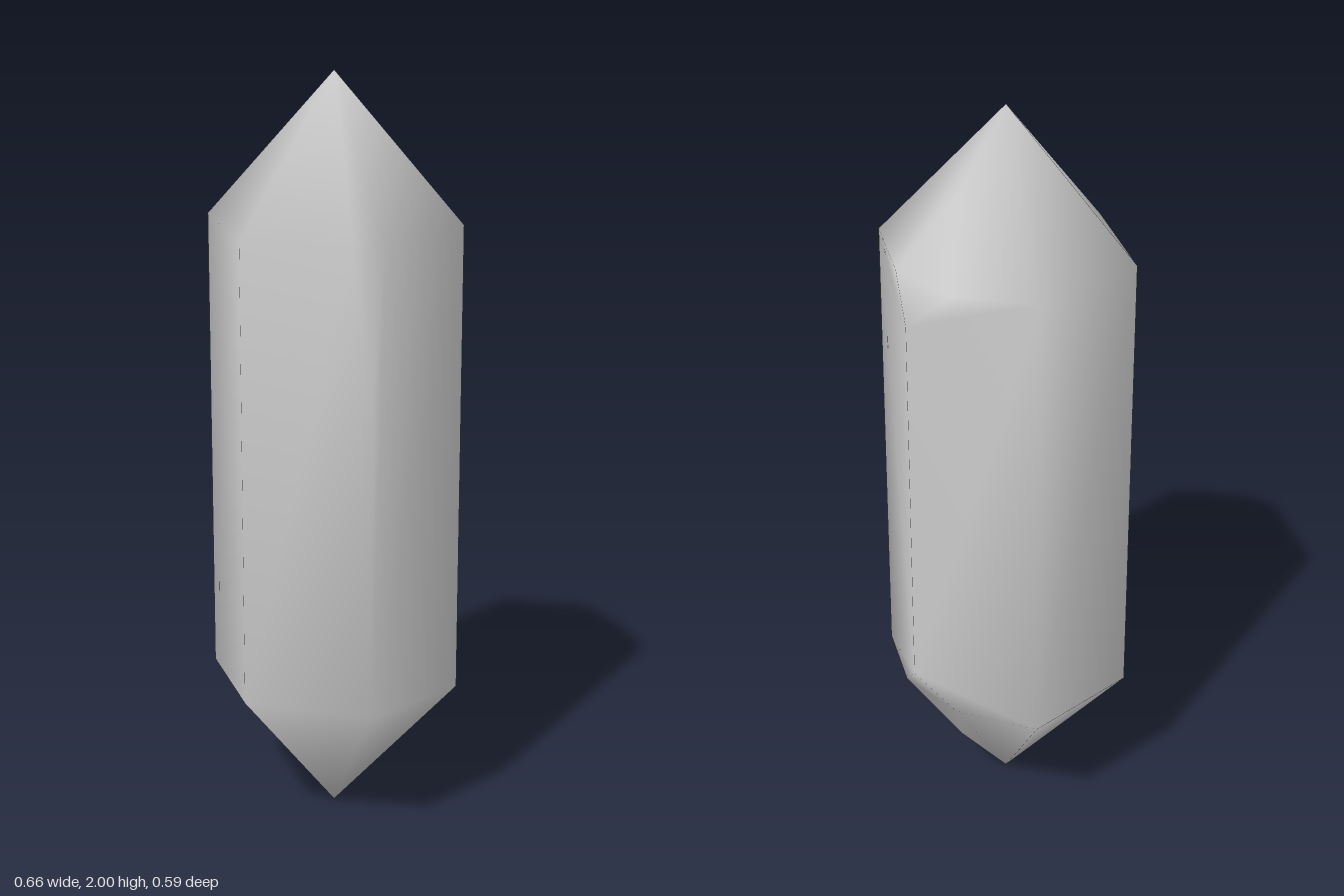
import * as THREE from 'three';
import { ConvexGeometry } from 'three/addons/geometries/ConvexGeometry.js';
import { mergeVertices } from 'three/addons/utils/BufferGeometryUtils.js';

// Double-terminated hexagonal crystal with a few cut corners
export function createModel() {
  const group = new THREE.Group();
  group.name = 'crystal';
  const points = [];
  const add = (x, y, z) => points.push(new THREE.Vector3(x, y, z));

  for (const end of [1, -1]) {
    // distance above or below the middle of the crystal
    const at = (x, h, z) => add(x, 1 + end * h, z);

    // tip and prism shoulder corners
    at(0, 1, 0);
    at(-0.332, 0.61, 0);
    at(0.164, 0.625, 0.295);
    at(0.164, 0.625, -0.295);
    at(-0.164, 0.62, -0.295);

    // rhombic facet cutting the left corner
    at(0.332, 0.515, 0);
    at(0.165, 0.803, 0);
    for (const side of [1, -1]) at(0.275, 0.614, side * 0.1);
  }

  // front right corner: long sliver facet above, plain corner below
  add(-0.164, 1.25, 0.295);
  add(-0.19, 1.618, 0.25);
  add(-0.125, 1.625, 0.295);
  add(-0.164, 0.385, 0.295);

  // shared vertices give the softly blended shading
  let geometry = new ConvexGeometry(points);
  geometry.deleteAttribute('normal');
  geometry = mergeVertices(geometry, 1e-4);
  geometry.computeVertexNormals();

  const body = new THREE.Mesh(geometry, new THREE.MeshStandardMaterial({ color: 0xcccccc }));
  body.name = 'crystalBody';
  group.add(body);
  return group;
}
